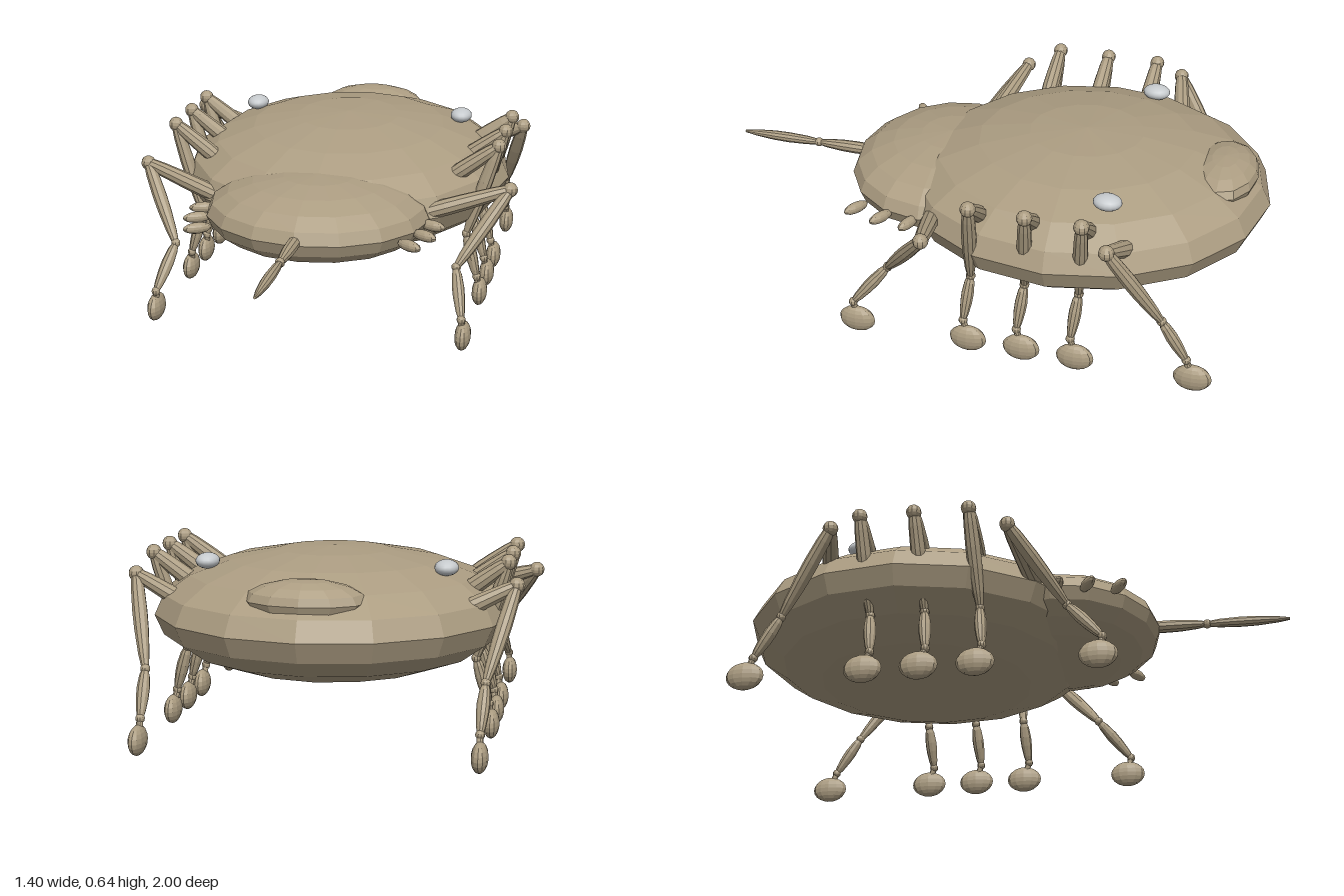
import * as THREE from 'three';

const shellMat = new THREE.MeshStandardMaterial({ color: 0xac9d82, flatShading: true });
shellMat.name = 'shell tan';
const eyeMat = new THREE.MeshStandardMaterial({ color: 0xc6cacd });
eyeMat.name = 'eye grey';

const V = (x, y, z) => new THREE.Vector3(x, y, z);

// faceted or smooth ellipsoid
function ellipsoid(name, c, r, w, h, mat = shellMat) {
  const m = new THREE.Mesh(new THREE.SphereGeometry(1, w, h), mat);
  m.name = name;
  m.position.set(...c);
  m.scale.set(...r);
  return m;
}

// tapered limb from a to b, swelling between its two ends
function limb(name, a, b, r0, rMid, r1) {
  const len = a.distanceTo(b);
  const pts = [[0, 0], [r0, 0], [(r0 + rMid * 2) / 3, 0.15], [rMid, 0.4], [rMid * 0.95, 0.6], [(r1 + rMid) / 2, 0.85], [r1, 1], [0, 1]]
    .map(([r, t]) => new THREE.Vector2(r, t * len));
  const m = new THREE.Mesh(new THREE.LatheGeometry(pts, 10), shellMat);
  m.name = name;
  m.position.copy(a);
  m.quaternion.setFromUnitVectors(V(0, 1, 0), b.clone().sub(a).normalize());
  return m;
}

const ball = (name, p, r) => ellipsoid(name, p.toArray(), [r, r, r], 10, 8);

// hip, knee, shin joint, ankle and foot centre of one left leg
function leg(name, hip, knee, joint, ankle, foot) {
  const g = new THREE.Group();
  g.name = name;
  g.add(
    limb('upperLeg', hip, knee, 0.022, 0.031, 0.02),
    ball('knee', knee, 0.027),
    limb('middleLeg', knee, joint, 0.018, 0.026, 0.012),
    ball('shinJoint', joint, 0.017),
    limb('lowerLeg', joint, ankle, 0.01, 0.022, 0.01),
    ball('ankle', ankle, 0.016),
    limb('footStem', ankle, foot, 0.01, 0.012, 0.01),
    ellipsoid('foot', foot.toArray(), [0.028, 0.05, 0.066], 12, 10)
  );
  return g;
}

// everything that is repeated on both sides
function side() {
  const g = new THREE.Group();
  g.add(leg('frontLeg', V(0.3, 0.39, 0.14), V(0.673, 0.503, 0.065), V(0.515, 0.265, 0.245), V(0.555, 0.12, 0.365), V(0.56, 0.055, 0.35)));
  [-0.06, -0.252, -0.443].forEach((z, i) => {
    g.add(leg('middleLeg' + (i + 1), V(0.4, 0.46, z - 0.01), V(0.61, 0.615, z - 0.02),
      V(0.505, 0.28, z + 0.005), V(0.55, 0.12, z + 0.02), V(0.56, 0.055, z)));
  });
  g.add(leg('backLeg', V(0.36, 0.42, -0.62), V(0.645, 0.555, -0.555), V(0.565, 0.268, -0.735), V(0.558, 0.122, -0.825), V(0.56, 0.055, -0.85)));

  // small spines along the edge of the front plate
  [[0.376, 0.41, 0.55], [0.41, 0.305, 0.5], [0.42, 0.2, 0.35]].forEach(([x, z, turn], i) => {
    const s = ellipsoid('spine' + (i + 1), [x, 0.395, z], [0.052, 0.02, 0.02], 10, 8);
    s.rotation.y = -turn;
    g.add(s);
  });

  g.add(ellipsoid('eye', [0.408, 0.598, -0.503], [0.041, 0.027, 0.05], 16, 12, eyeMat));
  return g;
}

export function createModel() {
  const model = new THREE.Group();
  model.name = 'shelledCrab';

  // main shell, front plate and the hump at the rear
  const shell = ellipsoid('mainShell', [0, 0.415, -0.338], [0.62, 0.222, 0.662], 16, 10);
  shell.rotation.x = 0.025;
  model.add(shell);
  model.add(ellipsoid('frontPlate', [0, 0.404, 0.17], [0.405, 0.141, 0.36], 16, 10));
  model.add(ellipsoid('rearHump', [0, 0.535, -0.83], [0.2, 0.069, 0.12], 12, 8));

  // two-part tail spike
  const mid = V(0, 0.411, 0.7);
  model.add(limb('tailBase', V(0, 0.411, 0.46), mid, 0.02, 0.023, 0.01));
  model.add(ball('tailJoint', mid, 0.017));
  model.add(limb('tailTip', mid, V(0, 0.411, 1), 0.01, 0.019, 0.005));

  // left half, and its mirror image on the right
  const left = side();
  left.name = 'leftSide';
  const right = side();
  right.name = 'rightSide';
  right.scale.x = -1;
  model.add(left, right);
  return model;
}
